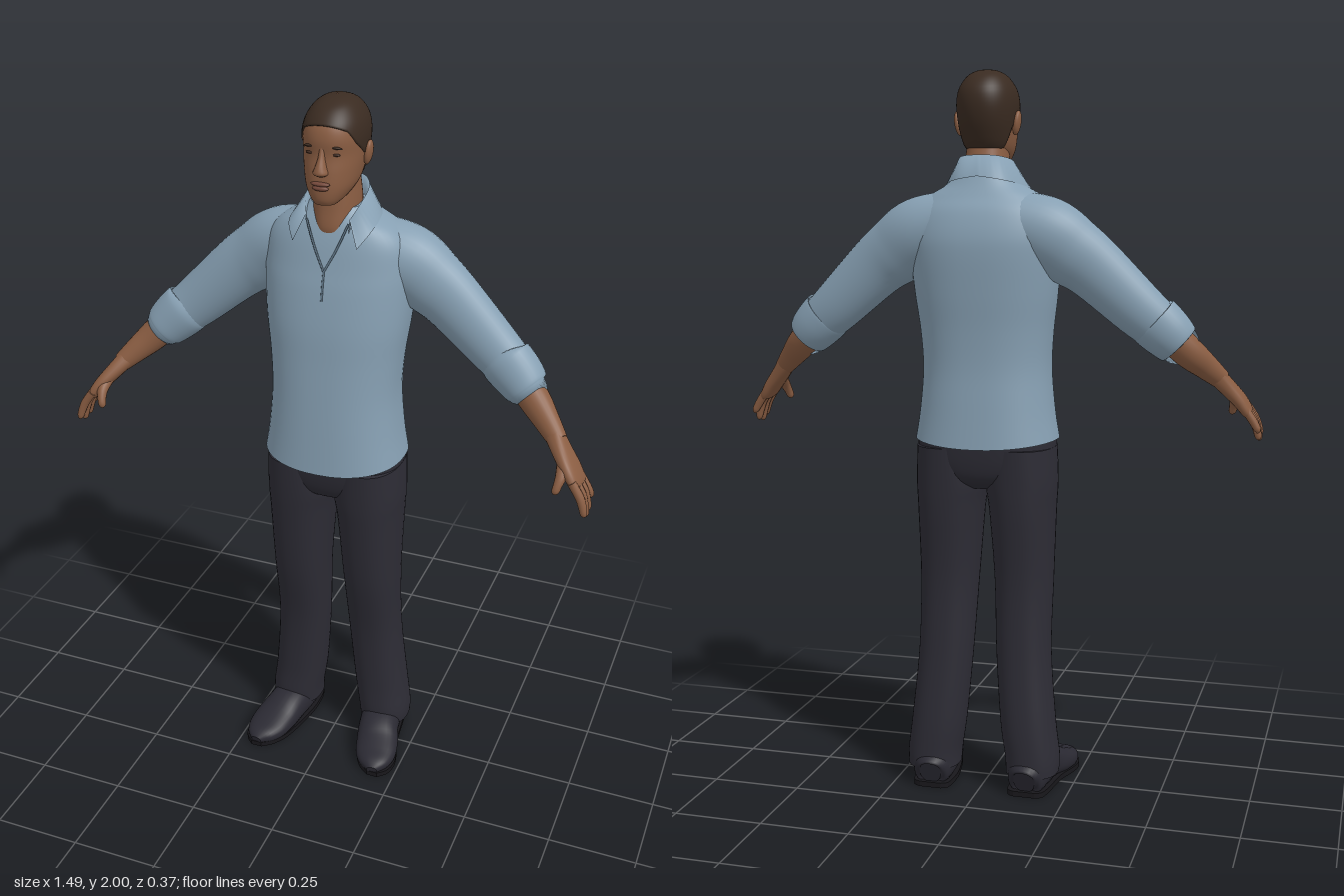
import * as THREE from 'three';

const mat = (name, color, side = THREE.FrontSide) => {
  const m = new THREE.MeshStandardMaterial({ color, side });
  m.name = name;
  return m;
};

// Smooth interpolation through rows of numbers, t from 0 to 1
function sample(rows, t) {
  const last = rows.length - 1, f = Math.min(Math.max(t, 0), 1) * last;
  const i = Math.min(Math.floor(f), last - 1), u = f - i;
  const at = k => rows[Math.min(Math.max(k, 0), last)];
  const [a, b, c, d] = [at(i - 1), at(i), at(i + 1), at(i + 2)];
  return b.map((_, k) => b[k] + 0.5 * u * (c[k] - a[k] + u * (2 * a[k] - 5 * b[k] + 4 * c[k] - d[k]
    + u * (3 * (b[k] - c[k]) + d[k] - a[k]))));
}

const bend = (v, p) => Math.sign(v) * Math.abs(v) ** (2 / p);

// Skin a list of rings, optionally closing both ends
function stitch(rings, closed = true, caps = true) {
  const n = rings[0].length, pos = rings.flat().flatMap(v => [v.x, v.y, v.z]), idx = [];
  for (let i = 0; i < rings.length - 1; i++)
    for (let j = 0; j < (closed ? n : n - 1); j++) {
      const a = i * n + j, b = i * n + (j + 1) % n;
      idx.push(a, a + n, b, b, a + n, b + n);
    }
  if (caps) [rings[0], rings[rings.length - 1]].forEach((ring, end) => {
    const base = pos.length / 3, mid = new THREE.Vector3();
    ring.forEach(v => { pos.push(v.x, v.y, v.z); mid.addScaledVector(v, 1 / n); });
    pos.push(mid.x, mid.y, mid.z);
    for (let j = 0; j < n; j++) {
      const a = base + j, b = base + (j + 1) % n;
      idx.push(base + n, end ? b : a, end ? a : b);
    }
  });
  const g = new THREE.BufferGeometry();
  g.setAttribute('position', new THREE.Float32BufferAttribute(pos, 3));
  g.setIndex(idx);
  g.computeVertexNormals();
  return g;
}

const ringOf = (n, fn) => Array.from({ length: n }, (_, j) => fn(j / n * Math.PI * 2));

// Level cross-section point; row = [y, centre x, half width, front z, back z]
const levelPoint = ([y, cx, w, zf, zb], a, p) => new THREE.Vector3(
  cx + w * bend(Math.cos(a), p), y, (zf + zb) / 2 + (zf - zb) / 2 * bend(Math.sin(a), p));

function stack(rows, p = 2.3, steps = 32, n = 40) {
  return stitch(Array.from({ length: steps + 1 }, (_, i) => {
    const row = sample(rows, i / steps);
    return ringOf(n, a => levelPoint(row, a, p));
  }));
}

// Limb along a path; row = [x, y, z, radius along ref, radius across]
function limb(rows, { ref = [0, 0, 1], p = 2, steps = 20, n = 24 } = {}) {
  const rings = [];
  for (let i = 0; i <= steps; i++) {
    const t = i / steps, [x, y, z, ru, rv] = sample(rows, t);
    const dir = new THREE.Vector3(...sample(rows, t + 0.01)).sub(new THREE.Vector3(...sample(rows, t - 0.01))).normalize();
    const u = new THREE.Vector3(...ref);
    u.addScaledVector(dir, -u.dot(dir)).normalize();
    const v = u.clone().cross(dir);
    rings.push(ringOf(n, a => new THREE.Vector3(x, y, z)
      .addScaledVector(u, ru * bend(Math.cos(a), p)).addScaledVector(v, rv * bend(Math.sin(a), p))));
  }
  return stitch(rings);
}

function mirrored(geo) {
  const g = geo.index ? geo.clone() : geo.clone().setIndex([...Array(geo.attributes.position.count).keys()]);
  g.scale(-1, 1, 1);
  const ix = g.index;
  for (let i = 0; i < ix.count; i += 3) {
    const b = ix.getX(i + 1);
    ix.setX(i + 1, ix.getX(i + 2));
    ix.setX(i + 2, b);
  }
  return g;
}

const blob = (x, y, z, rx, ry, rz, tilt = 0) =>
  new THREE.SphereGeometry(1, 20, 14).scale(rx, ry, rz).rotateZ(tilt).translate(x, y, z);

export function createModel() {
  const skin = mat('skin', 0x8a5d42), hairMat = mat('hair', 0x3a2b21), lip = mat('lips', 0x74483a);
  const eyeMat = mat('eye', 0x3f2a20), shirt = mat('shirt', 0x87a0b3, THREE.DoubleSide), seam = mat('seam', 0x5d7384);
  const cloth = mat('trousers', 0x2d2c35), leather = mat('shoe', 0x2a2932), rubber = mat('sole', 0x18171b);
  const model = new THREE.Group();
  model.name = 'standingMan';
  const add = (name, geo, m) => {
    const mesh = new THREE.Mesh(geo, m);
    mesh.name = name;
    model.add(mesh);
  };
  const pair = (name, geo, m) => { add(name + 'Left', geo, m); add(name + 'Right', mirrored(geo), m); };

  // Head and neck
  const headRows = [[1.745, 0, .03, .094, .03], [1.76, 0, .046, .102, -.03], [1.79, 0, .064, .104, -.08],
    [1.83, 0, .073, .1, -.103], [1.87, 0, .078, .093, -.117], [1.91, 0, .08, .094, -.122], [1.945, 0, .073, .083, -.115],
    [1.975, 0, .054, .055, -.09], [1.991, 0, .03, .02, -.055], [1.996, 0, .001, -.016, -.018]];
  add('head', stack(headRows, 2.2, 45, 48), skin);
  add('neck', stack([[1.64, 0, .05, .052, -.08], [1.67, 0, .055, .058, -.09], [1.72, 0, .06, .052, -.1],
    [1.79, 0, .056, .045, -.085]]), skin);

  // Cropped hair: a shell over the skull from the hairline to the crown
  const hairline = [[-1, 1.785], [-.6, 1.795], [-.3, 1.85], [.1, 1.865], [.45, 1.895], [.7, 1.93], [1, 1.945]];
  const lineAt = f => {
    const k = Math.max(1, hairline.findIndex(r => r[0] >= f - 1e-9));
    const [a, b] = [hairline[k - 1], hairline[k]];
    return a[1] + (b[1] - a[1]) * (f - a[0]) / (b[0] - a[0]);
  };
  const startOf = y => {
    let lo = 0, hi = 1;
    for (let i = 0; i < 30; i++) {
      const m = (lo + hi) / 2;
      if (sample(headRows, m)[0] < y) lo = m; else hi = m;
    }
    return lo;
  };
  const hairRing = (k, grow) => ringOf(64, a => {
    const t0 = startOf(lineAt(Math.sin(a))), centre = new THREE.Vector3(0, 1.88, -.015);
    return levelPoint(sample(headRows, t0 + (1 - t0) * k), a, 2.2).sub(centre).multiplyScalar(grow).add(centre);
  });
  const hairRings = [hairRing(0, .985)];
  for (let k = 0; k <= 24; k++) hairRings.push(hairRing(k / 24, 1.035));
  add('hair', stitch(hairRings, true, false), hairMat);

  // Face
  add('nose', stack([[1.822, 0, .011, .106, .08], [1.83, 0, .02, .119, .08], [1.845, 0, .015, .116, .078],
    [1.87, 0, .009, .103, .075], [1.892, 0, .009, .094, .07]], 2, 16, 20), skin);
  add('upperLip', blob(0, 1.803, .102, .026, .006, .009), lip);
  add('lowerLip', blob(0, 1.792, .102, .022, .007, .009), lip);
  pair('eye', blob(.033, 1.876, .083, .013, .004, .005), eyeMat);
  pair('eyebrow', blob(.034, 1.894, .084, .018, .0035, .006, -.08), hairMat);
  pair('ear', blob(.082, 1.858, -.022, .011, .033, .019, -.15), skin);

  // Shirt body, sleeves and rolled cuffs
  const torso = stack([[.985, 0, .2, .142, -.18], [1.1, 0, .185, .135, -.172], [1.2, 0, .178, .128, -.166],
    [1.3, 0, .184, .12, -.169], [1.4, 0, .197, .112, -.178], [1.5, 0, .205, .096, -.185], [1.56, 0, .205, .082, -.182],
    [1.62, 0, .194, .068, -.165], [1.66, 0, .162, .056, -.142], [1.69, 0, .112, .045, -.126], [1.72, 0, .075, .03, -.112]], 2.4, 50, 48);
  const tp = torso.attributes.position;
  for (let i = 0; i < tp.count; i++) // hem rises a little at the sides
    if (tp.getY(i) < 1.06) tp.setY(i, tp.getY(i) + .4 * tp.getX(i) ** 2 * (1.06 - tp.getY(i)) / .075);
  torso.computeVertexNormals();
  add('shirtBody', torso, shirt);
  pair('sleeve', limb([[.06, 1.6, -.06, .09, .083], [.173, 1.563, -.068, .088, .1], [.25, 1.513, -.065, .073, .094],
    [.311, 1.468, -.06, .064, .085], [.43, 1.36, -.05, .058, .073], [.5, 1.302, -.036, .054, .064]], { steps: 30, n: 32 }), shirt);
  pair('cuff', limb([[.461, 1.339, -.043, .054, .066], [.467, 1.333, -.041, .06, .074], [.5, 1.302, -.036, .061, .071],
    [.528, 1.274, -.028, .057, .063], [.532, 1.27, -.027, .05, .055]], { n: 32 }), shirt);

  // Folded collar, from the nape round to the points
  const collarTop = [[0, 1.772, -.108], [.05, 1.769, -.094], [.077, 1.757, -.04], [.073, 1.728, .018], [.06, 1.7, .054]];
  const collarLow = [[0, 1.715, -.13], [.065, 1.705, -.12], [.112, 1.69, -.05], [.115, 1.672, .035], [.088, 1.632, .077]];
  const collarIn = collarTop.map(([x, y, z]) => [x * .93, y - .05, z * .95]);
  const collarRows = [collarIn, collarTop, collarLow].map(keys => Array.from({ length: 41 }, (_, i) => {
    const s = i / 20 - 1, [x, y, z] = sample(keys, Math.abs(s));
    return new THREE.Vector3(x * Math.sign(s), y, z);
  }));
  add('collar', stitch(collarRows, false, false), shirt);

  // Neck opening seams
  const line = pts => new THREE.TubeGeometry(new THREE.CatmullRomCurve3(pts.map(p => new THREE.Vector3(...p))), 16, .003, 6);
  pair('neckSeam', line([[.058, 1.69, .054], [.03, 1.62, .069], [0, 1.56, .082]]), seam);
  add('placketSeam', line([[0, 1.56, .082], [0, 1.52, .092], [0, 1.485, .099]]), seam);

  // Forearms and hands
  pair('forearm', limb([[.49, 1.315, -.038, .044, .046], [.555, 1.25, -.012, .04, .043], [.6, 1.208, .018, .031, .035],
    [.638, 1.172, .045, .025, .027]]), skin);
  pair('palm', limb([[.622, 1.188, .034, .024, .026], [.655, 1.15, .058, .036, .023], [.685, 1.115, .077, .046, .02],
    [.706, 1.085, .086, .046, .016], [.712, 1.075, .088, .036, .008]], { p: 2.4 }), skin);
  [[.123, .132, 1.012], [.1, .107, 1], [.075, .08, 1.005], [.051, .053, 1.028]].forEach(([z0, z1, y], i) =>
    pair('finger' + (i + 1), limb([[.698, 1.1, z0, .011, .012], [.722, 1.065, z0 + .003, .012, .012],
      [.733, (y + 1.065) / 2, (z0 + z1) / 2 + .002, .011, .011], [.738, y + .008, z1, .009, .009],
      [.739, y, z1, .003, .003]], { steps: 12, n: 12 }), skin));
  pair('thumb', limb([[.66, 1.142, .07, .016, .016], [.668, 1.115, .11, .016, .015], [.664, 1.09, .13, .012, .012],
    [.66, 1.073, .137, .01, .01], [.659, 1.066, .139, .003, .003]], { ref: [1, 0, 0], steps: 12, n: 12 }), skin);

  // Trousers
  add('trouserSeat', stack([[.865, 0, .07, .05, -.1], [.89, 0, .13, .085, -.135], [.94, 0, .188, .104, -.152],
    [1.04, 0, .192, .118, -.163]], 2.5), cloth);
  pair('trouserLeg', stack([[.055, .144, .074, .015, -.146], [.1, .143, .076, .022, -.146], [.2, .13, .077, .02, -.143],
    [.4, .1135, .0765, .032, -.127], [.6, .1085, .081, .07, -.121], [.8, .1035, .091, .094, -.14],
    [.88, .1, .098, .102, -.146], [.98, .1, .094, .108, -.152]], 2.3, 40), cloth);

  // Shoes, turned out slightly, on flat soles
  const shoeRows = [[.137, .045, -.142, .03, .035], [.138, .05, -.125, .052, .05], [.142, .055, -.05, .06, .055],
    [.152, .052, .02, .06, .052], [.166, .038, .07, .063, .042], [.178, .03, .12, .06, .032],
    [.186, .027, .16, .043, .023], [.189, .022, .184, .016, .012]];
  const shoe = limb(shoeRows, { ref: [1, 0, 0], p: 2.3, steps: 32, n: 28 });
  const sp = shoe.attributes.position;
  for (let i = 0; i < sp.count; i++) sp.setY(i, Math.max(sp.getY(i), .012));
  shoe.computeVertexNormals();
  pair('shoe', shoe, leather);
  const edge = side => Array.from({ length: 25 }, (_, i) => {
    const [x, , z, r] = sample(shoeRows, i / 24);
    return new THREE.Vector2(x + side * r, -z);
  });
  const outline = new THREE.Shape([...edge(1), ...edge(-1).reverse()]);
  pair('sole', new THREE.ExtrudeGeometry(outline, { depth: .015, bevelEnabled: false }).rotateX(-Math.PI / 2), rubber);

  return model;
}
